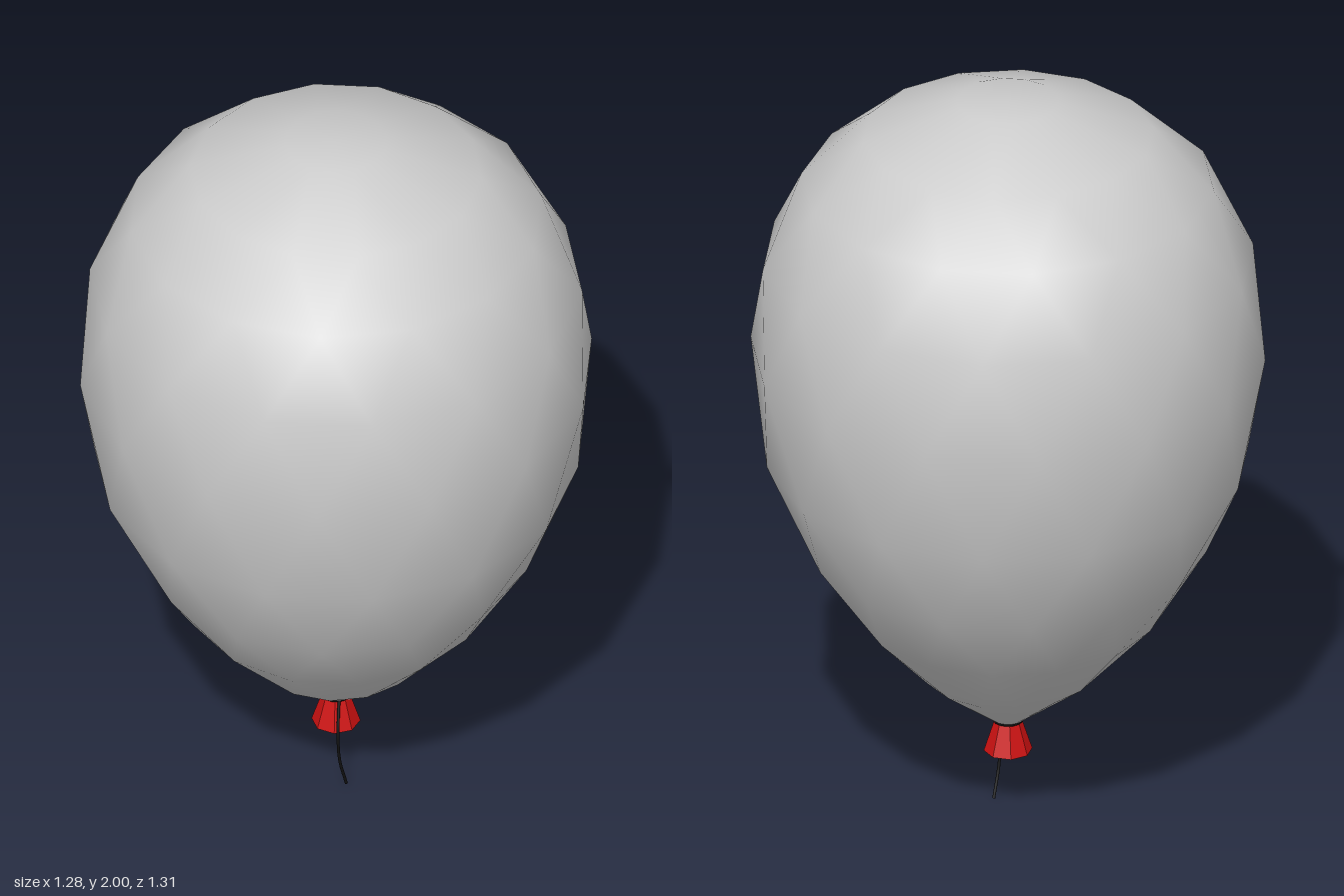
import * as THREE from 'three';

const material = (color, extra = {}) => new THREE.MeshStandardMaterial({ color, ...extra });

function addPart(group, name, geometry, mat) {
  const mesh = new THREE.Mesh(geometry, mat);
  mesh.name = name;
  group.add(mesh);
  return mesh;
}

// Lathe whose rings are each turned half a step, giving even triangles
function staggeredLathe(points, sides) {
  const geometry = new THREE.LatheGeometry(points, sides);
  const axis = new THREE.Vector3(0, 1, 0);
  const v = new THREE.Vector3();
  for (const key of ['position', 'normal']) {
    const attribute = geometry.attributes[key];
    for (let i = 0; i < attribute.count; i++) {
      const ring = i % points.length;
      v.fromBufferAttribute(attribute, i).applyAxisAngle(axis, (ring * Math.PI) / sides);
      attribute.setXYZ(i, v.x, v.y, v.z);
    }
  }
  return geometry;
}

export function createModel() {
  const group = new THREE.Group();
  group.name = 'balloon';

  // Inflated body, from the neck up to the crown
  const profile = [
    [0, 0.245], [0.035, 0.25], [0.215, 0.385], [0.38, 0.56], [0.505, 0.75], [0.615, 1.0],
    [0.655, 1.3], [0.625, 1.56], [0.525, 1.77], [0.37, 1.905], [0.13, 2.0], [0, 2.0],
  ].map(([r, y]) => new THREE.Vector2(r, y));
  addPart(group, 'body', staggeredLathe(profile, 14), material(0xcccccc));

  // Flared mouth below the knot
  const mouth = addPart(group, 'mouth',
    new THREE.CylinderGeometry(0.033, 0.062, 0.09, 8), material(0xcc1111, { flatShading: true }));
  mouth.position.y = 0.21;

  // String wound around the neck
  const knot = addPart(group, 'knot', new THREE.TorusGeometry(0.034, 0.008, 6, 14), material(0x111111));
  knot.rotation.x = Math.PI / 2;
  knot.position.y = 0.254;

  // Loose string hanging in front of the mouth
  const path = new THREE.CatmullRomCurve3([
    new THREE.Vector3(0.01, 0.255, 0.036),
    new THREE.Vector3(0.01, 0.17, 0.071),
    new THREE.Vector3(0.014, 0.09, 0.07),
    new THREE.Vector3(0.03, 0.002, 0.051),
  ]);
  addPart(group, 'string', new THREE.TubeGeometry(path, 12, 0.004, 5),
    material(0x111111, { side: THREE.DoubleSide }));

  return group;
}
